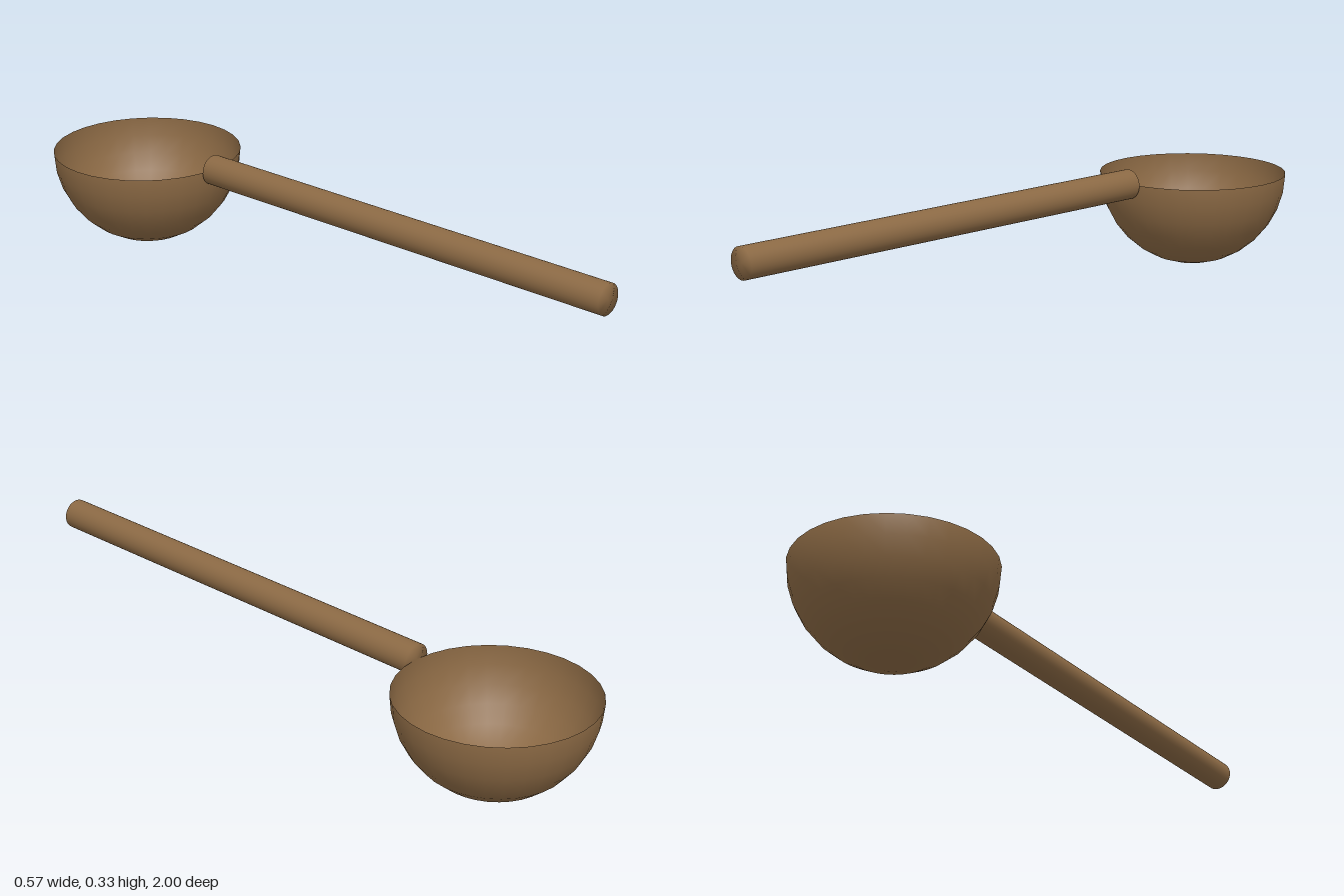
import * as THREE from 'three';
import { mergeVertices } from 'three/addons/utils/BufferGeometryUtils.js';

const BOWL_R = 0.286, BOWL_Z = -0.714;
const HANDLE_R = 0.045, HANDLE_BACK = -0.428, HANDLE_FRONT = 1;

export function createModel() {
  const model = new THREE.Group();
  model.name = 'ladle';
  const wood = new THREE.MeshStandardMaterial({ color: 0x8b6944 });
  const bowlWood = wood.clone();
  bowlWood.side = THREE.DoubleSide;

  // Thin open hemisphere, rim upward
  const bowl = new THREE.Mesh(
    new THREE.SphereGeometry(BOWL_R, 32, 8, 0, Math.PI * 2, Math.PI / 2, Math.PI / 2), bowlWood);
  bowl.name = 'bowl';
  bowl.position.set(0, BOWL_R, BOWL_Z);
  model.add(bowl);

  // Straight round handle, level with the rim; welded so shading runs softly over the ends
  const length = HANDLE_FRONT - HANDLE_BACK;
  let rod = new THREE.CylinderGeometry(HANDLE_R, HANDLE_R, length, 32);
  rod.deleteAttribute('normal');
  rod.deleteAttribute('uv');
  rod = mergeVertices(rod);
  rod.computeVertexNormals();
  rod.rotateX(Math.PI / 2);
  const handle = new THREE.Mesh(rod, wood);
  handle.name = 'handle';
  handle.position.set(0, BOWL_R, (HANDLE_FRONT + HANDLE_BACK) / 2);
  model.add(handle);

  return model;
}
